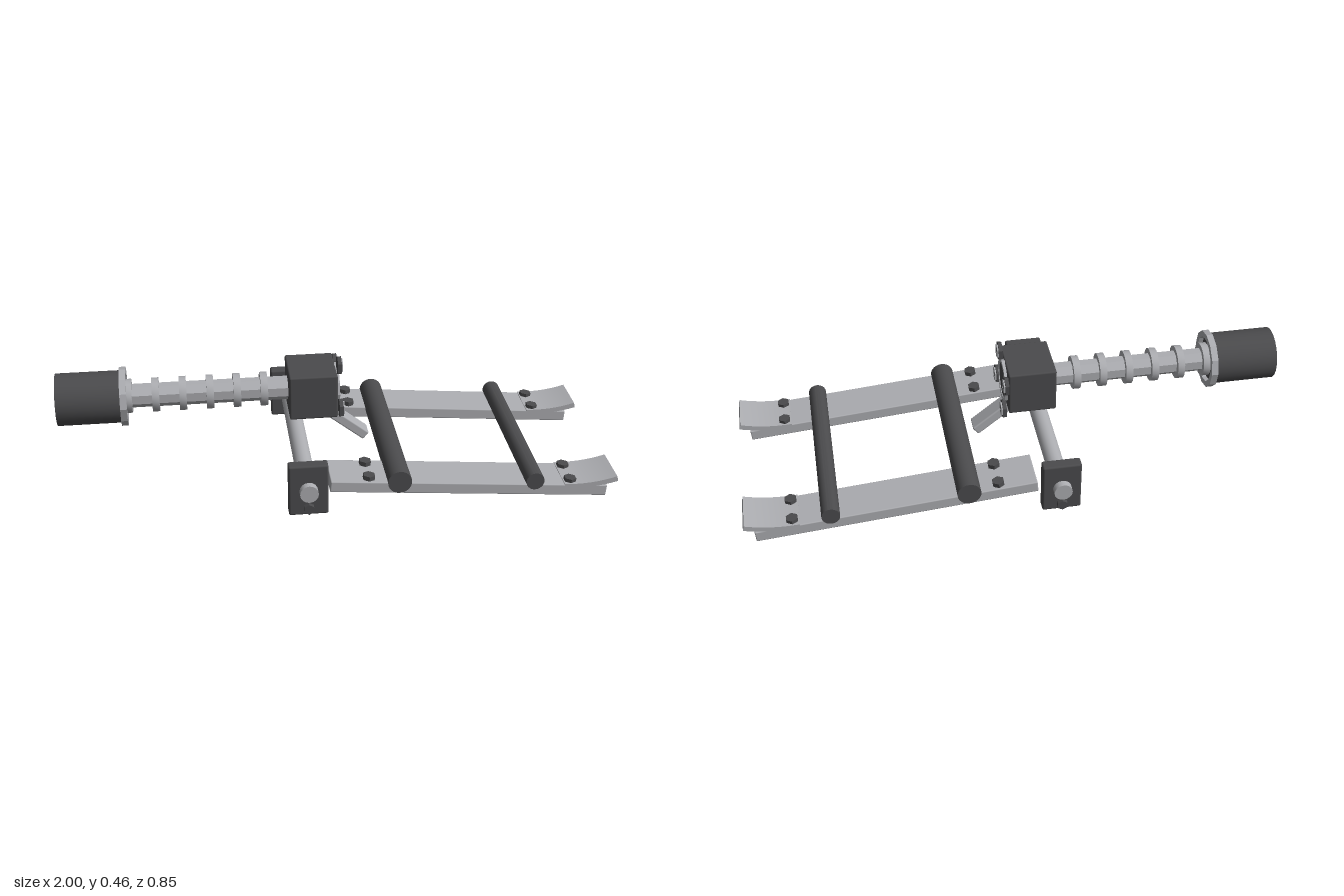
import * as THREE from 'three';
import { toCreasedNormals } from 'three/addons/utils/BufferGeometryUtils.js';
import { RoundedBoxGeometry } from 'three/addons/geometries/RoundedBoxGeometry.js';

export function createModel() {
  const root = new THREE.Group();
  root.name = 'mechanism';
  const dark = new THREE.MeshStandardMaterial({ color: 0x4b4b4d });
  dark.name = 'dark steel';
  const light = new THREE.MeshStandardMaterial({ color: 0xadaeb2 });
  light.name = 'light steel';

  const AXIS_Y = 0.328; // height of the shaft axis

  function add(name, geo, mat, x, y, z, tilt = 0) {
    const mesh = new THREE.Mesh(geo, mat);
    mesh.name = name;
    mesh.position.set(x, y, z);
    mesh.rotation.z = tilt;
    root.add(mesh);
    return mesh;
  }
  const box = (w, h, d, r = 0.006) => new RoundedBoxGeometry(w, h, d, 2, r);

  // turn a y-axis solid onto the wanted axis and sharpen its edges
  function orient(geo, axis) {
    if (axis === 'x') geo.rotateZ(-Math.PI / 2);
    if (axis === 'z') geo.rotateX(Math.PI / 2);
    return toCreasedNormals(geo, 0.45);
  }
  const rod = (axis, r, len, sides = 24, start = 0) =>
    orient(new THREE.CylinderGeometry(r, r, len, sides, 1, false, start), axis);
  function ring(axis, outer, inner, len, sides, start = 0) {
    const h = len / 2;
    const profile = [[inner, -h], [outer, -h], [outer, h], [inner, h], [inner, -h]]
      .map(([a, b]) => new THREE.Vector2(a, b));
    return orient(new THREE.LatheGeometry(profile, sides, start), axis);
  }

  // drum and its open flange
  add('drum', rod('x', 0.095, 0.235), dark, -0.8825, AXIS_Y, 0);
  add('drumFlange', ring('x', 0.107, 0.085, 0.024, 12), light, -0.76, AXIS_Y, 0);

  // octagonal shaft with evenly spaced collars
  add('shaft', rod('x', 0.043, 0.64, 8, Math.PI / 8), light, -0.46, AXIS_Y, 0);
  for (let i = 0; i < 6; i++) {
    add('shaftCollar', rod('x', 0.062, 0.026, 16), light, -0.743 + i * 0.098, AXIS_Y, 0);
  }

  // central housing with ringed cover
  add('housing', box(0.175, 0.168, 0.2), dark, -0.078, AXIS_Y, 0);
  add('coverRing', ring('x', 0.083, 0.067, 0.016, 12), light, 0.012, AXIS_Y, 0);
  add('coverDisc', rod('x', 0.068, 0.012, 12), dark, 0.011, AXIS_Y, 0);

  // four hex nuts around the cover
  for (let i = 0; i < 4; i++) {
    const a = 1.16 + i * Math.PI / 2;
    const y = AXIS_Y + 0.109 * Math.sin(a);
    const z = 0.109 * Math.cos(a);
    const turn = Math.PI / 2;
    add('nut', rod('x', 0.036, 0.014, 6, turn), dark, 0.02, y, z);
    add('nutWasher', ring('x', 0.027, 0.014, 0.008, 6, turn), light, 0.028, y, z);
    add('nutCore', rod('x', 0.0145, 0.008, 6, turn), dark, 0.027, y, z);
  }

  // diagonal strut below the housing
  add('strut', box(0.2, 0.036, 0.064), light, 0.046, 0.184, 0, -0.67);

  // cross axle through the two end plates
  add('axle', rod('z', 0.033, 0.85, 16), light, -0.13, 0.122, 0);

  const runnerTilt = -0.085;
  const runnerTop = (x) => 0.091 + (x - 0.4535) * Math.tan(runnerTilt);

  // upturned runner tip, as a curved side profile
  const tipShape = new THREE.Shape();
  tipShape.moveTo(0.8, 0.046);
  tipShape.quadraticCurveTo(0.9, 0.038, 0.997, 0.063);
  tipShape.lineTo(0.992, 0.083);
  tipShape.quadraticCurveTo(0.9, 0.056, 0.8, 0.0635);
  tipShape.closePath();

  for (const side of [1, -1]) {
    add('endPlate', box(0.14, 0.195, 0.044, 0.007), dark, -0.13, 0.122, side * 0.377);
    add('endPlateBolt', rod('z', 0.02, 0.03, 6), dark, -0.13, 0.054, side * 0.401);

    // sloping runner
    add('runner', box(1.01, 0.042, 0.16, 0.004), light, 0.4535, 0.069, side * 0.287, runnerTilt);
    const tip = new THREE.ExtrudeGeometry(tipShape, { depth: 0.16, bevelEnabled: false, curveSegments: 8 });
    tip.translate(0, 0, -0.08);
    add('runnerTip', toCreasedNormals(tip, 0.45), light, 0, 0, side * 0.287);

    for (const x of [0.09, 0.825]) {
      for (const z of [0.235, 0.338]) {
        add('runnerBolt', rod('y', 0.023, 0.024, 6), dark, x, runnerTop(x) + 0.004, side * z, runnerTilt);
      }
    }
  }

  // cross bars joining the runners
  add('rearCrossBar', rod('z', 0.043, 0.735), dark, 0.198, 0.114, 0);
  add('frontCrossBar', rod('z', 0.033, 0.735), dark, 0.69, 0.083, 0);

  return root;
}
